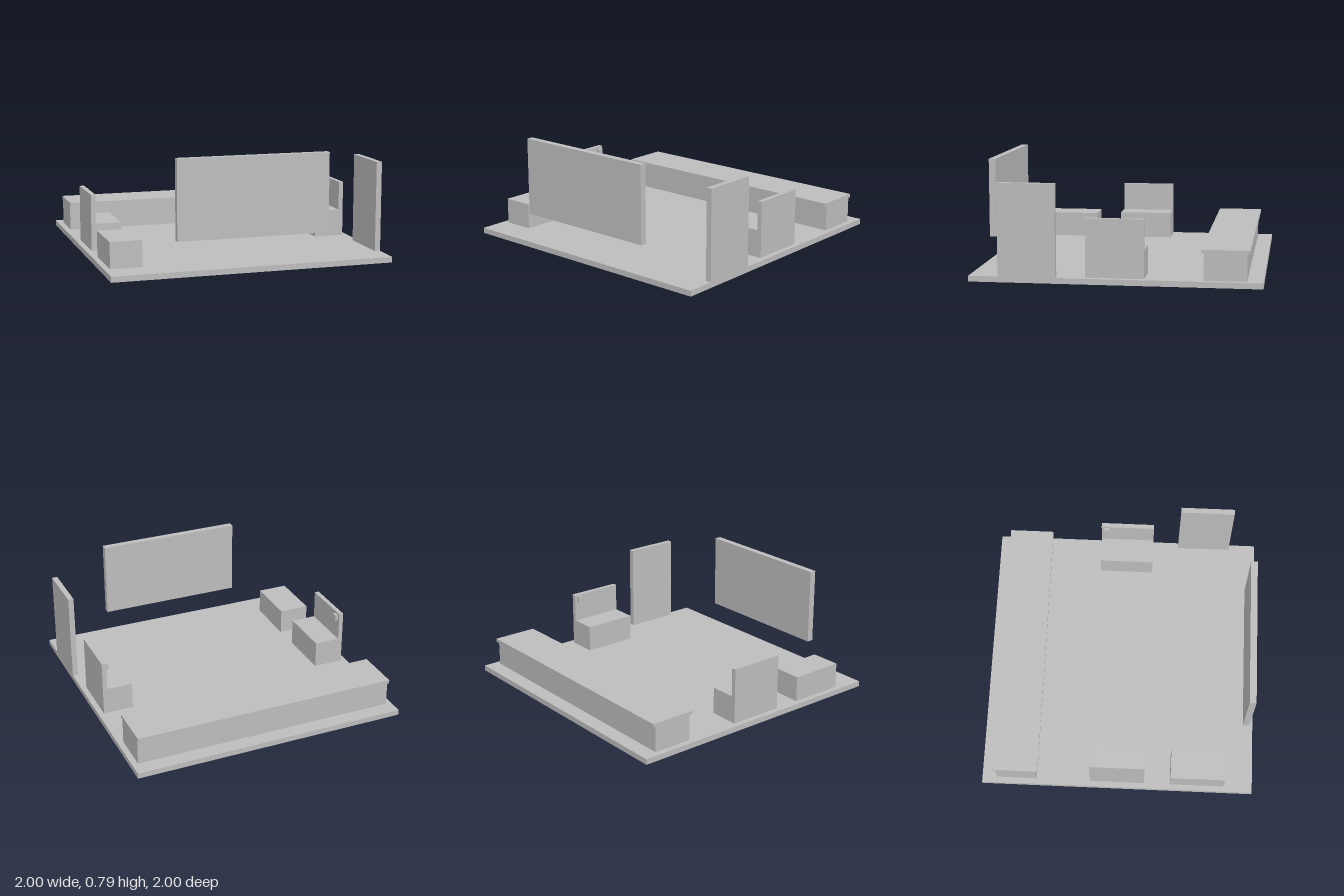
import * as THREE from 'three';

export function createModel() {
  const model = new THREE.Group();
  model.name = 'room';
  const grey = new THREE.MeshStandardMaterial({ color: 0xbcbcbc });
  grey.name = 'plain grey';

  // Box given by its lower and upper limits on each axis
  function box(name, [x0, x1], [y0, y1], [z0, z1], parent = model) {
    const mesh = new THREE.Mesh(new THREE.BoxGeometry(x1 - x0, y1 - y0, z1 - z0), grey);
    mesh.name = name;
    mesh.position.set((x0 + x1) / 2, (y0 + y1) / 2, (z0 + z1) / 2);
    parent.add(mesh);
    return mesh;
  }

  box('floor', [-1, 1], [0, 0.04], [-1, 1]);

  // Long counter along the back, its top overhanging front and rear
  box('counterBody', [-0.958, 0.958], [0.04, 0.225], [-0.89, -0.6]);
  box('counterTop', [-0.96, 0.96], [0.225, 0.25], [-0.91, -0.58]);

  // Facing pair of seats with tall backs and a small block on each back
  for (const side of [-1, 1]) {
    const seat = new THREE.Group();
    seat.name = side > 0 ? 'leftSeat' : 'rightSeat';
    const span = (a, b) => (side > 0 ? [a, b] : [-b, -a]);
    box('seatBase', span(0.74, 0.927), [0.04, 0.235], [-0.2, 0.2], seat);
    box('seatBack', span(0.927, 0.96), [0.04, 0.445], [-0.2, 0.2], seat);
    box('backBlock', span(0.905, 0.927), [0.385, 0.43], [-0.18, -0.14], seat);
    model.add(seat);
  }

  // Low cabinet, upright side panel and raised front panel
  box('lowCabinet', [-0.96, -0.737], [0.04, 0.225], [0.392, 0.79]);
  box('sidePanel', [0.96, 1], [0.04, 0.68], [0.398, 0.796]);
  box('raisedPanel', [-0.54, 0.536], [0.235, 0.79], [0.912, 0.96]);

  return model;
}
